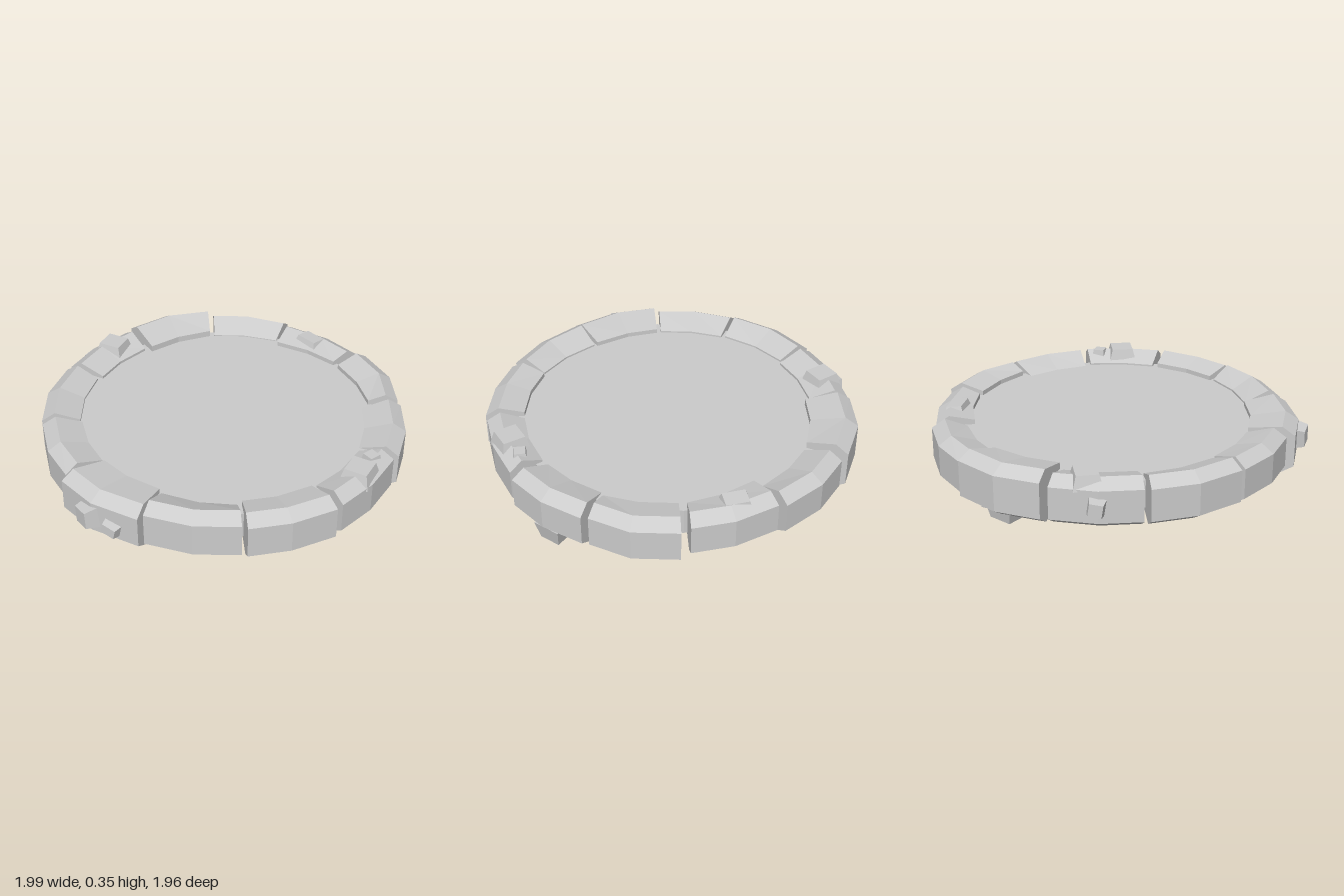
import * as THREE from 'three';

const material = new THREE.MeshStandardMaterial({ color: 0xcccccc, flatShading: true });

// Each stone: three outer corners [x, z], inner radius at both ends,
// top ridge height, inner top height, bottom height
const STONES = [
  [[0.99, 0.03], [0.96, 0.27], [0.845, 0.465], 0.79, 0.80, 0.33, 0.30, 0.07],
  [[0.835, 0.50], [0.70, 0.69], [0.525, 0.83], 0.76, 0.77, 0.325, 0.275, 0.07],
  [[0.48, 0.84], [0.26, 0.93], [0.04, 0.965], 0.78, 0.77, 0.335, 0.285, 0.08],
  [[0, 0.975], [-0.24, 0.93], [-0.44, 0.84], 0.77, 0.75, 0.335, 0.30, 0.07],
  [[-0.46, 0.82], [-0.65, 0.68], [-0.80, 0.48], 0.76, 0.73, 0.345, 0.285, 0.075],
  [[-0.83, 0.475], [-0.95, 0.24], [-0.98, 0.01], 0.72, 0.73, 0.33, 0.30, 0.07],
  [[-0.94, -0.02], [-0.92, -0.24], [-0.83, -0.46], 0.73, 0.74, 0.33, 0.285, 0.08],
  [[-0.82, -0.485], [-0.67, -0.69], [-0.47, -0.83], 0.75, 0.76, 0.335, 0.285, 0.075],
  [[-0.44, -0.84], [-0.24, -0.93], [0, -0.965], 0.74, 0.76, 0.335, 0.29, 0.075],
  [[0.04, -0.97], [0.28, -0.965], [0.51, -0.865], 0.73, 0.78, 0.35, 0.31, 0.07],
  [[0.53, -0.83], [0.70, -0.70], [0.84, -0.50], 0.78, 0.79, 0.33, 0.28, 0.075],
  [[0.835, -0.46], [0.93, -0.24], [0.96, -0.02], 0.75, 0.79, 0.33, 0.30, 0.08],
];

// Chamfered wedge: one six-sided cross-section swept through three stations
function stoneGeometry([a, b, c, in0, in1, top, innerTop, bottom]) {
  const rings = [a, b, c].map(([x, z], s) => {
    const angle = Math.atan2(z, x), r = Math.hypot(x, z);
    const inner = in0 + (in1 - in0) * s / 2;
    const section = [
      [r, bottom + 0.045], [r, top - 0.045], [r - 0.07, top],
      [inner, innerTop], [inner, bottom + 0.045], [r - 0.07, bottom],
    ];
    return section.map(([q, y]) => [q * Math.cos(angle), y, q * Math.sin(angle)]);
  });
  const pos = [];
  const tri = (p, q, r) => pos.push(...p, ...q, ...r);
  for (let s = 0; s < 2; s++) {
    for (let i = 0; i < 6; i++) {
      const j = (i + 1) % 6;
      tri(rings[s][i], rings[s][j], rings[s + 1][j]);
      tri(rings[s][i], rings[s + 1][j], rings[s + 1][i]);
    }
  }
  for (let i = 1; i < 5; i++) {
    tri(rings[0][0], rings[0][i + 1], rings[0][i]);
    tri(rings[2][0], rings[2][i], rings[2][i + 1]);
  }
  const geo = new THREE.BufferGeometry();
  geo.setAttribute('position', new THREE.Float32BufferAttribute(pos, 3));
  geo.computeVertexNormals();
  return geo;
}

// Tapered four-sided chip: centre, width, depth, height, outward direction, spin
const CHIPS = [
  [[-0.15, 0.315, -0.85], 0.15, 0.16, 0.075, [0, 1, 0], 0.5],
  [[0.25, 0.315, 0.84], 0.16, 0.16, 0.08, [0, 1, 0], 0.45],
  [[0.37, 0.31, 0.79], 0.08, 0.08, 0.065, [0, 1, 0], 0.05],
  [[0.81, 0.305, -0.25], 0.11, 0.16, 0.06, [0.1, 1, 0], 0.15],
  [[0.27, 0.075, -0.85], 0.17, 0.12, 0.09, [0, -1, 0], 0.35],
  [[0.38, 0.085, -0.80], 0.08, 0.08, 0.07, [0, -1, 0], 0.1],
  [[0.63, 0.05, 0.62], 0.17, 0.15, 0.10, [0, -1, 0], 0.7],
  [[-0.96, 0.205, 0.22], 0.12, 0.12, 0.08, [-1, 0, 0], 0.1],
  [[-0.905, 0.18, 0.35], 0.07, 0.10, 0.06, [-0.9, 0, 0.4], 0.2],
  [[-0.235, 0.21, -0.945], 0.09, 0.09, 0.07, [-0.25, 0, -1], 0.1],
];

function chip([centre, w, d, h, dir, spin]) {
  const geo = new THREE.CylinderGeometry(0.53, Math.SQRT1_2, 1, 4, 1);
  geo.rotateY(Math.PI / 4);
  geo.scale(w, h, d);
  geo.rotateY(spin);
  const mesh = new THREE.Mesh(geo, material);
  mesh.quaternion.setFromUnitVectors(
    new THREE.Vector3(0, 1, 0), new THREE.Vector3(...dir).normalize());
  mesh.position.set(...centre);
  mesh.name = 'rockChip';
  return mesh;
}

export function createModel() {
  const model = new THREE.Group();
  model.name = 'stonePlatform';

  // Flat floor slab inside the ring
  const floor = new THREE.Mesh(new THREE.CylinderGeometry(0.82, 0.82, 0.145, 24), material);
  floor.position.y = 0.2025;
  floor.name = 'floor';
  model.add(floor);

  // Ring of rim stones
  const rim = new THREE.Group();
  rim.name = 'rim';
  for (const data of STONES) {
    const stone = new THREE.Mesh(stoneGeometry(data), material);
    stone.name = 'rimStone';
    rim.add(stone);
  }
  model.add(rim);

  // Loose chips stuck to the rim
  const chips = new THREE.Group();
  chips.name = 'rockChips';
  for (const data of CHIPS) chips.add(chip(data));
  model.add(chips);

  return model;
}
